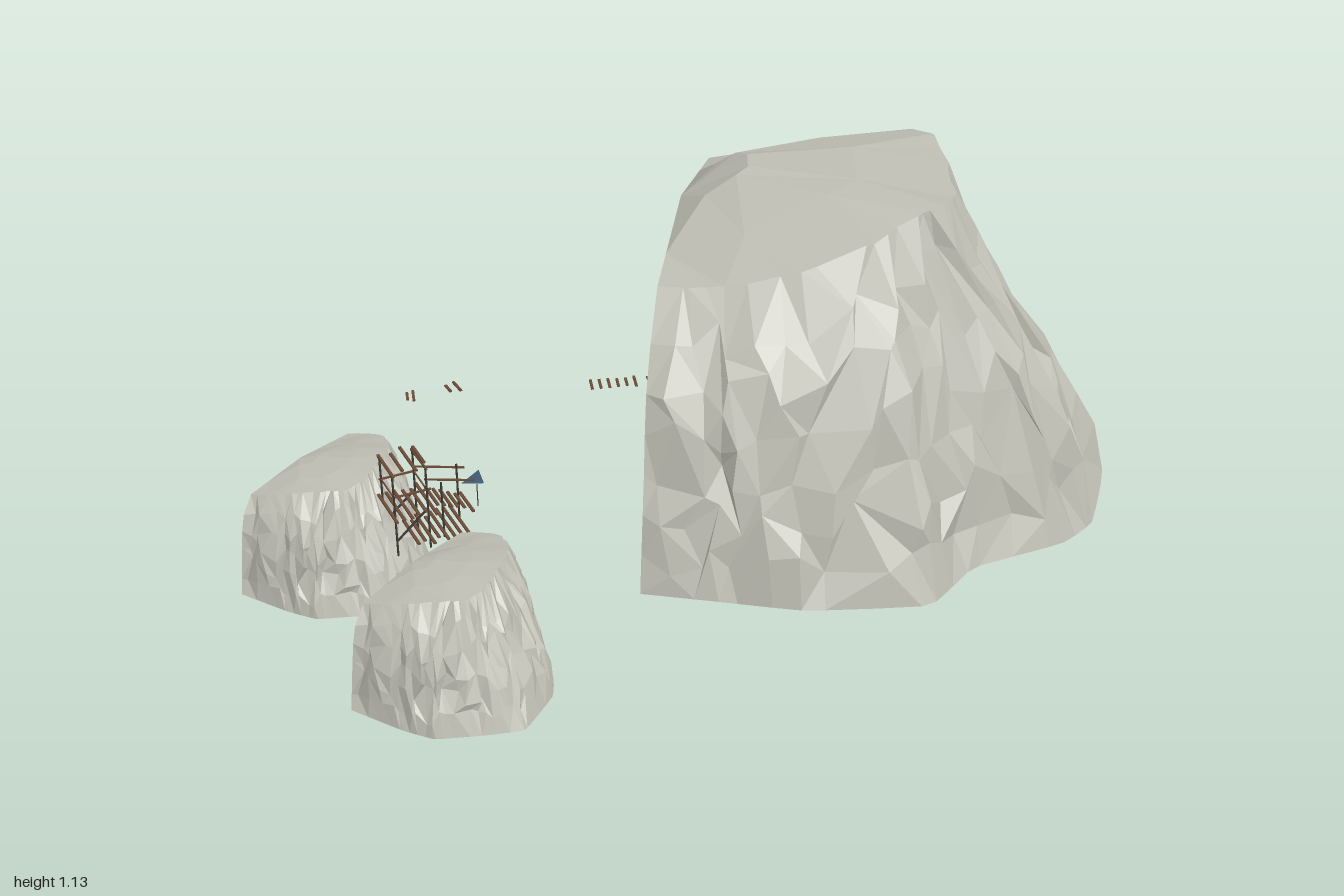
import * as THREE from 'three';

const mat = (color, extra = {}) => new THREE.MeshStandardMaterial({ color, ...extra });
const stone = mat(0xbfbeb4, { flatShading: true, side: THREE.DoubleSide });
const wood = mat(0x6a4b38);
const darkWood = mat(0x3c3834);
const leaf = mat(0x2f4a30, { flatShading: true });
const cloth = mat(0x4a6a85, { side: THREE.DoubleSide });

// Repeatable noise in -1..1
const noise = (i, j, k) => {
  const s = Math.sin(i * 127.1 + j * 311.7 + k * 74.7) * 43758.5453;
  return (s - Math.floor(s)) * 2 - 1;
};

// Value at t in 0..1 along evenly spaced knots
const along = (knots, t) => {
  const f = THREE.MathUtils.clamp(t, 0, 1) * (knots.length - 1);
  const i = Math.min(Math.floor(f), knots.length - 2);
  return THREE.MathUtils.lerp(knots[i], knots[i + 1], f - i);
};

// Half a hollow crag: walls rise from a footprint to a plateau rim, then a faceted cap.
// Each slope [u, knots] says how far the wall has leaned in at each height, at u along the footprint.
function crag(name, { foot, rim, base, centre, lift, cols, rows, slopes, rough, seed }) {
  const footCurve = new THREE.CatmullRomCurve3(
    foot.map(([x, z]) => new THREE.Vector3(x, base, z)), false, 'catmullrom', 0.15);
  const rimCurve = new THREE.CatmullRomCurve3(rim.map(([x, z, y]) => new THREE.Vector3(x, y, z)));
  const mid = new THREE.Vector3(...centre);
  const capRows = [0.35, 0.75, 1];
  const leanAt = (u, v) => {
    const k = Math.max(1, slopes.findIndex(([at]) => at >= u));
    const [u0, lower] = slopes[k - 1], [u1, upper] = slopes[k];
    return THREE.MathUtils.lerp(along(lower, v), along(upper, v), THREE.MathUtils.smoothstep(u, u0, u1));
  };
  const point = (i, j) => {
    const edge = i === 0 || i === cols;
    if (j <= rows) {
      const loose = j > 0 && j < rows;
      const u = THREE.MathUtils.clamp((i + (edge || j === 0 ? 0 : 0.5 * noise(i, j, seed))) / cols, 0, 1);
      const v = (j + (loose && !edge ? 0.45 * noise(i, j, seed + 1) : 0)) / rows;
      const b = rimCurve.getPoint(u);
      const p = footCurve.getPoint(u).lerp(b, leanAt(u, v));
      p.y = THREE.MathUtils.lerp(base, b.y, v);
      if (j > 0 && !edge) {
        const out = new THREE.Vector3(p.x - mid.x, 0, p.z - mid.z).normalize();
        const push = 0.45 * noise(i, 3, seed + 2) + 0.6 * noise(i, j, seed + 3) - 0.15;
        p.addScaledVector(out, (loose ? 1 : 0.3) * rough * push);
      }
      return p;
    }
    // Cap rings snap to a few columns so the facets stay broad
    const ring = j - rows - 1;
    const u = Math.round((i / cols) * 7) / 7;
    const p = rimCurve.getPoint(u).lerp(mid, capRows[ring]);
    p.y += lift[ring] * Math.sqrt(Math.max(0, Math.sin(Math.PI * u)));
    return p;
  };
  const grid = [];
  for (let j = 0; j <= rows + capRows.length; j++) {
    grid.push(Array.from({ length: cols + 1 }, (_, i) => point(i, j)));
  }
  const pos = [];
  const tri = (a, b, c) => {
    const area = b.clone().sub(a).cross(c.clone().sub(a)).length();
    if (area > 1e-7) for (const p of [a, b, c]) pos.push(p.x, p.y, p.z);
  };
  for (let j = 0; j < grid.length - 1; j++) {
    for (let i = 0; i < cols; i++) {
      const a = grid[j][i], b = grid[j][i + 1], c = grid[j + 1][i + 1], d = grid[j + 1][i];
      if (noise(i, j, seed + 5) > 0) { tri(a, b, c); tri(a, c, d); }
      else { tri(a, b, d); tri(b, c, d); }
    }
  }
  const geo = new THREE.BufferGeometry();
  geo.setAttribute('position', new THREE.Float32BufferAttribute(pos, 3));
  geo.computeVertexNormals();
  const mesh = new THREE.Mesh(geo, stone);
  mesh.name = name;
  return mesh;
}

// Square timber between two points
function beam(name, a, b, w = 0.005, h = w, m = wood) {
  const from = new THREE.Vector3(...a), to = new THREE.Vector3(...b);
  const mesh = new THREE.Mesh(new THREE.BoxGeometry(w, h, from.distanceTo(to)), m);
  mesh.position.copy(from).add(to).multiplyScalar(0.5);
  mesh.lookAt(to);
  mesh.name = name;
  return mesh;
}

// Loose planks laid crosswise along a line
function plankRow(name, a, b, n, length) {
  const g = new THREE.Group();
  g.name = name;
  const from = new THREE.Vector3(...a), to = new THREE.Vector3(...b);
  const side = new THREE.Vector3(a[2] - b[2], 0, b[0] - a[0]).normalize();
  for (let i = 0; i < n; i++) {
    const c = from.clone().lerp(to, i / (n - 1));
    const half = side.clone().multiplyScalar(length * (0.5 + 0.1 * noise(i, n, 2)));
    g.add(beam('plank', c.clone().sub(half).toArray(), c.clone().add(half).toArray(), 0.007, 0.004));
  }
  return g;
}

// Timber lookout with two decks, roof, railings and a stepped walkway
function lookout() {
  const g = new THREE.Group();
  g.name = 'lookout';
  for (const x of [-0.06, 0.02]) {
    for (const z of [-0.045, 0.045]) g.add(beam('post', [x, 0.29, z], [x, 0.505, z], 0.004, 0.004, darkWood));
    g.add(beam('roofBeam', [x, 0.505, -0.055], [x, 0.51, 0.055], 0.004));
    g.add(beam('crossRail', [x, 0.45, -0.045], [x, 0.45, 0.045], 0.003));
  }
  g.add(plankRow('upperDeck', [-0.065, 0.4, 0.005], [0.03, 0.4, 0.005], 6, 0.13));
  g.add(plankRow('lowerDeck', [-0.02, 0.335, 0.03], [0.1, 0.335, 0.03], 8, 0.12));
  g.add(plankRow('roof', [-0.06, 0.51, 0], [0.02, 0.52, 0], 4, 0.1));
  g.add(plankRow('walkway', [0.045, 0.4, 0], [0.13, 0.36, 0], 6, 0.08));
  for (const z of [-0.045, 0.045]) {
    g.add(beam('rail', [-0.065, 0.45, z], [0.03, 0.45, z], 0.004));
    g.add(beam('brace', [-0.06, 0.33, z], [0.02, 0.4, z], 0.004, 0.004, darkWood));
    g.add(beam('walkwayRail', [0.02, 0.47, z * 0.7], [0.14, 0.435, z * 0.7], 0.004));
  }
  for (const [x, z] of [[0.06, 0.03], [0.12, -0.03]]) {
    g.add(beam('walkwayPost', [x, 0.3, z], [x, 0.45, z], 0.004, 0.004, darkWood));
  }
  const flag = new THREE.Mesh(new THREE.ConeGeometry(0.022, 0.05, 3), cloth);
  flag.name = 'pennant';
  flag.rotation.z = Math.PI / 2;
  flag.position.set(0.15, 0.4, -0.02);
  g.add(flag);
  g.position.set(-0.6, 0, 0.29);
  g.rotation.y = 0.6;
  return g;
}

// Small bushy conifer
function tree() {
  const g = new THREE.Group();
  g.name = 'tree';
  g.add(beam('trunk', [0, 0.33, 0], [0, 0.4, 0], 0.008));
  for (let i = 0; i < 4; i++) {
    const tier = new THREE.Mesh(new THREE.ConeGeometry(0.029 - i * 0.003, 0.042, 6), leaf);
    tier.name = 'foliage';
    tier.position.set(0.005 * noise(i, 1, 1), 0.362 + i * 0.019, 0.005 * noise(i, 2, 1));
    tier.rotation.y = i;
    g.add(tier);
  }
  g.position.set(-0.055, 0, -0.14);
  return g;
}

// Jetty at the back: cross planks on short pegs
function jetty() {
  const g = plankRow('jetty', [-0.02, 0.335, -0.66], [0.02, 0.335, -0.83], 8, 0.07);
  for (let i = 0; i < 7; i++) {
    const x = -0.05 + i * 0.027, z = -0.665 - i * 0.028;
    g.add(beam('peg', [x, 0.3, z], [x, 0.338, z], 0.004, 0.004, darkWood));
  }
  for (const x of [-0.06, -0.02]) g.add(beam('railing', [x, 0.33, -0.65], [x + 0.04, 0.33, -0.8], 0.004));
  return g;
}

export function createModel() {
  const model = new THREE.Group();

  // Main crag, with a ledge halfway up its outer side
  model.add(crag('largeCrag', {
    foot: [[-0.03, 0.5], [0.15, 0.505], [0.34, 0.51], [0.61, 0.45], [0.7, 0.29], [0.9, 0.16], [0.97, 0.06],
      [1, -0.18], [0.9, -0.42], [0.78, -0.62], [0.68, -0.77], [0.61, -0.82], [0.4, -0.84], [0.2, -0.855], [-0.03, -0.845]],
    rim: [[-0.03, 0.23, 0.97], [0.1, 0.24, 0.98], [0.24, 0.23, 1.01], [0.42, 0.17, 1.07], [0.51, 0.11, 1.11], [0.57, 0.05, 1.12],
      [0.6, -0.02, 1.11], [0.58, -0.17, 1.11], [0.56, -0.3, 1.11], [0.52, -0.4, 1.11], [0.43, -0.48, 1.07],
      [0.36, -0.54, 1.02], [0.24, -0.58, 0.98], [0.12, -0.6, 0.95], [-0.03, -0.6, 0.92]],
    base: 0.34, centre: [-0.03, 1.03, -0.12], lift: [0.045, 0.075, 0], cols: 44, rows: 7,
    slopes: [
      [0, [0, 0.09, 0.19, 0.29, 0.33, 0.57, 1]],
      [0.3, [0, 0.1, 0.21, 0.37, 0.56, 0.78, 1]],
      [0.45, [0, 0.1, 0.21, 0.37, 0.6, 0.8, 1]],
      [0.53, [0, 0.1, 0.22, 0.52, 0.74, 0.86, 1]],
      [0.6, [0, 0.1, 0.22, 0.52, 0.74, 0.86, 1]],
      [0.72, [0, 0.1, 0.22, 0.4, 0.6, 0.8, 1]],
      [1, [0, 0.1, 0.21, 0.37, 0.55, 0.76, 1]],
    ],
    rough: 0.034, seed: 4,
  }));

  // Two matching small crags
  const small = crag('smallCragFront', {
    foot: [[-0.625, 0.78], [-0.5, 0.83], [-0.42, 0.85], [-0.31, 0.82], [-0.235, 0.79],
      [-0.2, 0.67], [-0.21, 0.61], [-0.28, 0.46], [-0.36, 0.38], [-0.43, 0.37]],
    rim: [[-0.597, 0.72, 0.41], [-0.5, 0.735, 0.43], [-0.42, 0.73, 0.44], [-0.36, 0.71, 0.44], [-0.335, 0.66, 0.445],
      [-0.325, 0.6, 0.445], [-0.32, 0.53, 0.44], [-0.33, 0.48, 0.43], [-0.37, 0.43, 0.42], [-0.453, 0.42, 0.41]],
    base: 0.165, centre: [-0.525, 0.425, 0.57], lift: [0.008, 0.008, 0], cols: 48, rows: 6,
    slopes: [
      [0, [0, 0.09, 0.18, 0.28, 0.38, 0.55, 1]],
      [0.35, [0, 0.11, 0.24, 0.38, 0.54, 0.74, 1]],
      [1, [0, 0.11, 0.24, 0.38, 0.54, 0.74, 1]],
    ],
    rough: 0.014, seed: 11,
  });
  const twin = small.clone();
  twin.name = 'smallCragBack';
  twin.position.set(-0.38, 0, -0.385);
  model.add(small, twin);

  // Timber and planting
  model.add(lookout(), tree(), jetty());
  model.add(plankRow('footbridge', [-0.31, 0.345, -0.405], [-0.2, 0.345, -0.44], 6, 0.045));
  model.add(plankRow('footbridge', [-0.165, 0.345, -0.45], [-0.14, 0.345, -0.46], 2, 0.045));
  model.add(plankRow('brokenPlanks', [-0.675, 0.345, -0.33], [-0.655, 0.345, -0.345], 2, 0.045));
  model.add(plankRow('brokenPlanks', [-0.77, 0.345, -0.275], [-0.755, 0.345, -0.28], 2, 0.045));
  model.add(plankRow('treeLanding', [-0.05, 0.335, -0.1], [-0.04, 0.335, -0.185], 5, 0.055));

  // Hanging ropes: x, z, bottom, top
  const ropes = [[-0.085, -0.105, 0.01, 0.33], [-0.01, -0.185, 0, 0.33], [-0.01, -0.63, 0.05, 0.33],
    [0.045, -0.185, 0.19, 0.33], [-0.04, -0.84, 0.13, 0.33], [-0.65, 0.31, 0.13, 0.3], [-0.47, 0.2, 0.34, 0.4]];
  for (const [x, z, y0, y1] of ropes) model.add(beam('rope', [x, y0, z], [x, y1, z], 0.002, 0.002, darkWood));

  return model;
}
